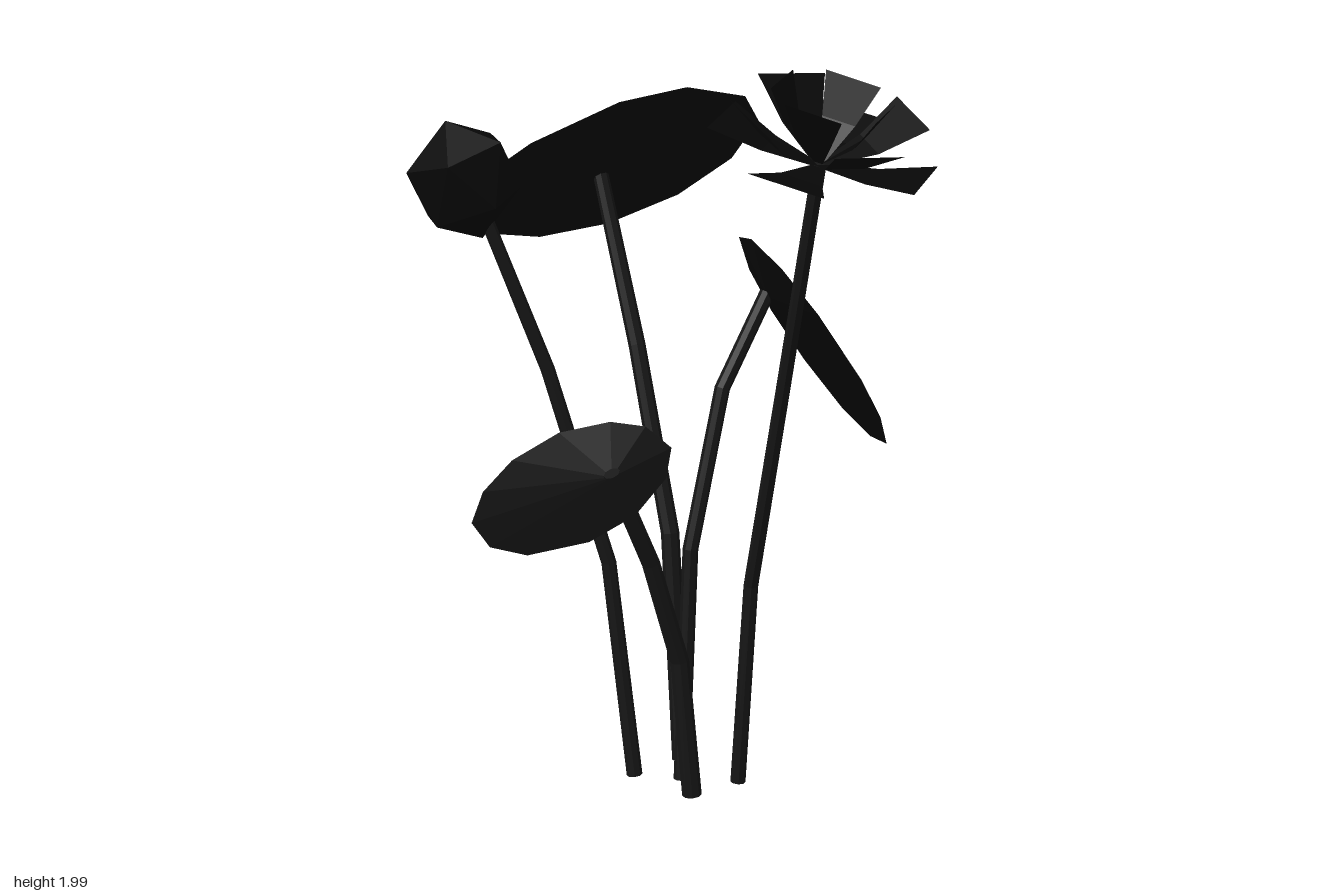
import * as THREE from 'three';

const UP = new THREE.Vector3(0, 1, 0);
const material = (color) => new THREE.MeshStandardMaterial({ color, flatShading: true, side: THREE.DoubleSide });
const stemMat = material(0x161616);
const leafMat = material(0x0a0a0a);
const petalMat = material(0x070707);

function sheet(positions, index) {
  const geo = new THREE.BufferGeometry();
  geo.setAttribute('position', new THREE.Float32BufferAttribute(positions, 3));
  geo.setIndex(index);
  geo.computeVertexNormals();
  return geo;
}

// Capped, tapering stem: a cylinder whose rings are moved onto the path points
function stem(points, r0, r1) {
  const path = points.map((p) => new THREE.Vector3(...p));
  const n = path.length - 1;
  const geo = new THREE.CylinderGeometry(r1, r0, n, 8, n);
  const pos = geo.attributes.position;
  const v = new THREE.Vector3(), q = new THREE.Quaternion();
  for (let i = 0; i < pos.count; i++) {
    const k = Math.round(pos.getY(i) + n / 2);
    const dir = path[Math.min(k + 1, n)].clone().sub(path[Math.max(k - 1, 0)]).normalize();
    v.set(pos.getX(i), 0, pos.getZ(i)).applyQuaternion(q.setFromUnitVectors(UP, dir)).add(path[k]);
    pos.setXYZ(i, v.x, v.y, v.z);
  }
  geo.computeVertexNormals();
  return new THREE.Mesh(geo, stemMat);
}

// Round pad: a tilted planar rim of [x, z] corners, dipping to a hub on the stem
function leaf(rim, height, hub) {
  const positions = [...hub], index = [];
  rim.forEach(([x, z], i) => {
    positions.push(x, height(x, z), z);
    index.push(0, 1 + ((i + 1) % rim.length), 1 + i);
  });
  return new THREE.Mesh(sheet(positions, index), leafMat);
}

// Wedge petal along +x, from rows of [radius, height, half width]
function petal(rows) {
  const positions = [], index = [];
  rows.forEach(([r, h, w], i) => {
    positions.push(r, h, -w, r, h, w);
    const a = i * 2;
    if (i) index.push(a - 2, a - 1, a, a, a - 1, a + 1);
  });
  return sheet(positions, index);
}

export function createModel() {
  const model = new THREE.Group();
  const add = (name, mesh) => { mesh.name = name; model.add(mesh); return mesh; };

  // Large back leaf
  add('largeLeafStem', stem([[0.16, 0.03, -0.125], [0.165, 0.68, -0.175], [0.175, 1.2, -0.31], [0.187, 1.67, -0.46]], 0.028, 0.022));
  add('largeLeaf', leaf([
    [0.08, -0.82], [0.31, -0.83], [0.52, -0.75], [0.655, -0.59], [0.68, -0.4], [0.59, -0.22],
    [0.415, -0.12], [0.157, -0.105], [-0.02, -0.19], [-0.157, -0.39], [-0.183, -0.54], [-0.096, -0.71],
  ], (x, z) => 1.905 + 0.63 * (z + 0.118) - 0.1 * (x - 0.3), [0.187, 1.66, -0.46]));

  // Steep leaf on the left
  add('leftLeafStem', stem([[0.025, 0.03, -0.005], [0.05, 0.68, 0.005], [0.14, 1.12, 0.04], [0.262, 1.375, 0.095]], 0.022, 0.021));
  add('leftLeaf', leaf([
    [0.17, 0.116], [0.27, -0.015], [0.42, -0.106], [0.525, -0.113], [0.585, -0.04], [0.585, 0.1],
    [0.525, 0.25], [0.42, 0.39], [0.28, 0.476], [0.185, 0.485], [0.11, 0.4], [0.11, 0.275],
  ], (x, z) => 1.53 - 1.27 * (x - 0.17) - 0.88 * (z - 0.116), [0.26, 1.365, 0.095]));

  // Low leaf on the right
  add('rightLeafStem', stem([[-0.015, 0.01, 0.07], [-0.063, 0.4, 0.068], [-0.175, 0.69, 0.066], [-0.323, 0.955, 0.065]], 0.027, 0.023));
  add('rightLeaf', leaf([
    [-0.4, -0.227], [-0.28, -0.17], [-0.214, -0.044], [-0.21, 0.08], [-0.266, 0.223], [-0.367, 0.297],
    [-0.5, 0.314], [-0.607, 0.258], [-0.685, 0.118], [-0.685, -0.017], [-0.624, -0.148], [-0.52, -0.214],
  ], (x) => 1.066 + 0.545 * (x + 0.21), [-0.323, 0.945, 0.065]));

  // Bud: slightly stretched, tilted icosahedron
  add('budStem', stem([[-0.035, 0.03, -0.127], [-0.09, 0.64, -0.17], [-0.215, 1.18, -0.275], [-0.345, 1.58, -0.365]], 0.022, 0.018));
  const bud = add('bud', new THREE.Mesh(new THREE.IcosahedronGeometry(0.155), petalMat));
  bud.position.set(-0.393, 1.695, -0.404);
  bud.rotation.set(-0.14, 0, -0.25);
  bud.scale.y = 1.08;

  // Open flower: three rows of four petals, steeper towards the middle
  add('flowerStem', stem([[0.112, 0.03, 0.127], [0.095, 0.6, 0.185], [0.037, 1.18, 0.345], [-0.052, 1.77, 0.53]], 0.021, 0.018));
  const flower = add('flower', new THREE.Group());
  flower.position.set(-0.055, 1.765, 0.53);
  flower.quaternion.setFromUnitVectors(UP, new THREE.Vector3(-0.15, 0.92, 0.36).normalize());
  const rows = [
    ['outerPetal', 22, [[0.01, 0, 0.015], [0.14, 0.015, 0.055], [0.275, 0.05, 0.1]]],
    ['middlePetal', 66, [[0.01, 0.005, 0.015], [0.13, 0.055, 0.055], [0.235, 0.14, 0.095]]],
    ['innerPetal', 20, [[0.01, 0.01, 0.012], [0.09, 0.09, 0.045], [0.14, 0.19, 0.075]]],
  ];
  for (const [name, start, section] of rows) {
    const geo = petal(section);
    for (let i = 0; i < 4; i++) {
      const mesh = new THREE.Mesh(geo, petalMat);
      mesh.name = name;
      mesh.rotation.y = THREE.MathUtils.degToRad(start + i * 90);
      flower.add(mesh);
    }
  }
  return model;
}
